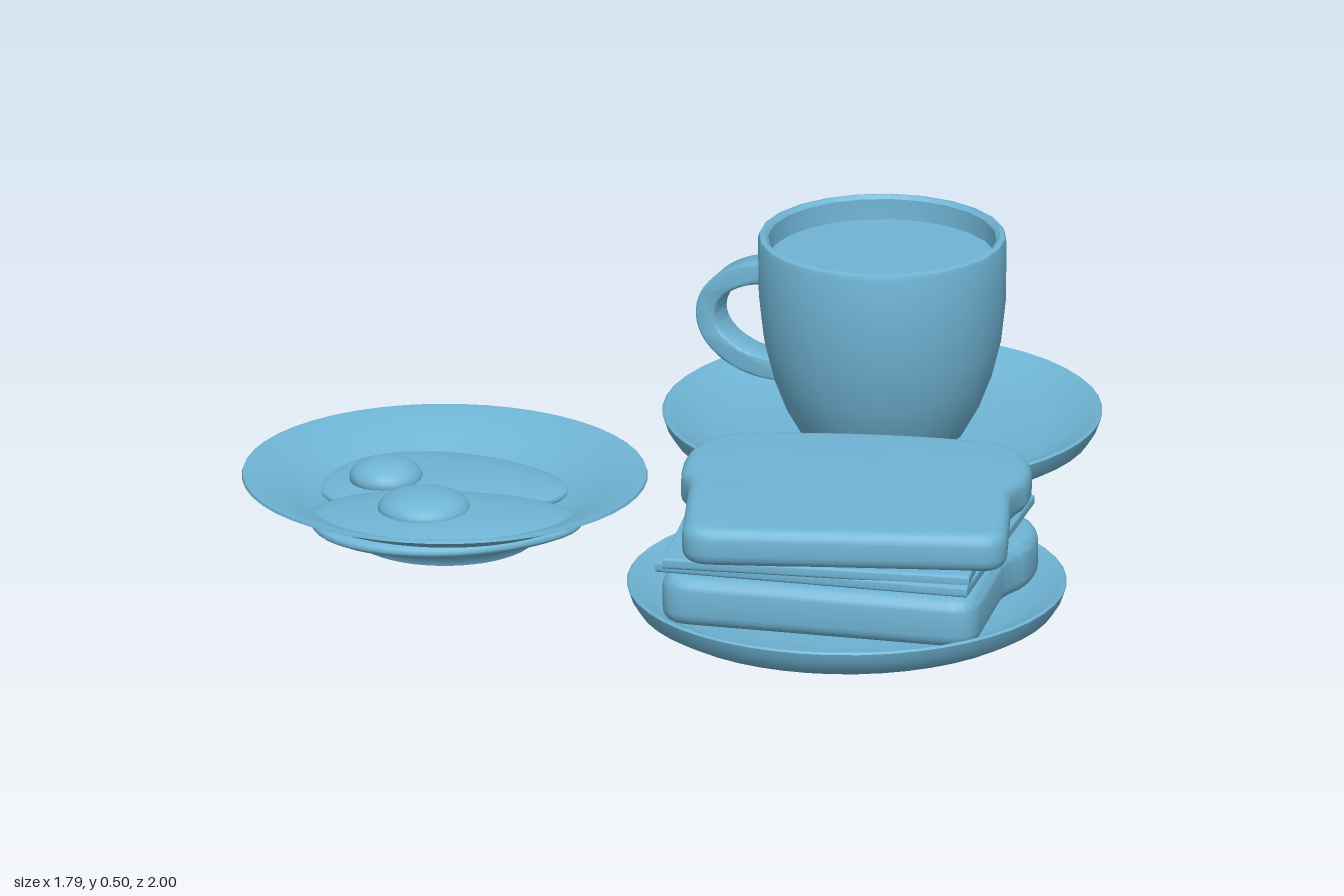
import * as THREE from 'three';
import { toCreasedNormals } from 'three/addons/utils/BufferGeometryUtils.js';

const material = new THREE.MeshStandardMaterial({ color: 0x6fb4d4 });

function add(parent, name, geometry, x = 0, y = 0, z = 0) {
  const mesh = new THREE.Mesh(geometry, material);
  mesh.name = name;
  mesh.position.set(x, y, z);
  parent.add(mesh);
  return mesh;
}

function addGroup(parent, name, x, z) {
  const group = new THREE.Group();
  group.name = name;
  group.position.set(x, 0, z);
  parent.add(group);
  return group;
}

// Turned part from [radius, height] pairs, listed bottom centre, outside, rim, inside
function turned(points, segments) {
  const profile = points.map(([r, y]) => new THREE.Vector2(r, y));
  return toCreasedNormals(new THREE.LatheGeometry(profile, segments), 0.7);
}

// Flat outline laid on the ground with rounded edges; its +y becomes -z
function slab(shape, bottom, top, bevel) {
  const geometry = new THREE.ExtrudeGeometry(shape, {
    depth: top - bottom - 2 * bevel, bevelEnabled: true, bevelThickness: bevel,
    bevelSize: bevel, bevelOffset: -bevel, bevelSegments: 4, curveSegments: 8,
  });
  geometry.rotateX(-Math.PI / 2).translate(0, bottom + bevel, 0);
  return toCreasedNormals(geometry, 0.8);
}

// Bread slice: straight lower half, side notches and a wider crown
function breadShape() {
  const s = new THREE.Shape();
  s.moveTo(-0.27, -0.32);
  s.lineTo(0.29, -0.32);
  s.quadraticCurveTo(0.35, -0.32, 0.35, -0.26);
  s.lineTo(0.34, -0.02);
  s.quadraticCurveTo(0.345, 0.02, 0.365, 0.06);
  s.quadraticCurveTo(0.4, 0.2, 0.3, 0.28);
  s.quadraticCurveTo(0.2, 0.32, 0, 0.325);
  s.quadraticCurveTo(-0.2, 0.33, -0.29, 0.3);
  s.quadraticCurveTo(-0.38, 0.25, -0.365, 0.06);
  s.quadraticCurveTo(-0.345, 0.02, -0.345, -0.02);
  s.lineTo(-0.34, -0.26);
  s.quadraticCurveTo(-0.34, -0.32, -0.27, -0.32);
  return s;
}

function rectangle(w, d) {
  const s = new THREE.Shape();
  s.moveTo(-w / 2, -d / 2);
  s.lineTo(w / 2, -d / 2);
  s.lineTo(w / 2, d / 2);
  s.lineTo(-w / 2, d / 2);
  s.closePath();
  return s;
}

// Flattened ball with a wavy outline
function eggWhite(rx, ry, rz, phase) {
  const geometry = new THREE.SphereGeometry(1, 40, 16);
  const p = geometry.attributes.position;
  for (let i = 0; i < p.count; i++) {
    const a = Math.atan2(p.getZ(i), p.getX(i));
    const k = 1 + 0.05 * Math.sin(3 * a + phase) + 0.03 * Math.sin(2 * a - phase);
    p.setXYZ(i, p.getX(i) * rx * k, p.getY(i) * ry, p.getZ(i) * rz * k);
  }
  geometry.computeVertexNormals();
  return geometry;
}

const saucerProfile = [
  [0, 0.012], [0.21, 0.012], [0.215, 0], [0.23, 0], [0.24, 0.016], [0.33, 0.027],
  [0.41, 0.045], [0.445, 0.064], [0.46, 0.088], [0.466, 0.108], [0.461, 0.112],
  [0.45, 0.108], [0.425, 0.088], [0.36, 0.066], [0.25, 0.052], [0, 0.05],
];

const plateProfile = [
  [0, 0.01], [0.175, 0.01], [0.18, 0], [0.195, 0], [0.2, 0.016], [0.26, 0.055],
  [0.34, 0.096], [0.43, 0.134], [0.428, 0.14], [0.42, 0.14], [0.33, 0.106],
  [0.26, 0.07], [0.2, 0.05], [0, 0.048],
];

const cupProfile = [
  [0, 0.048], [0.15, 0.048], [0.175, 0.068], [0.205, 0.12], [0.232, 0.19],
  [0.252, 0.27], [0.262, 0.36], [0.264, 0.49], [0.261, 0.5], [0.25, 0.503],
  [0.242, 0.495], [0.24, 0.42], [0.23, 0.3],
];

export function createModel() {
  const model = new THREE.Group();
  model.name = 'breakfast';

  // Egg plate
  const eggs = addGroup(model, 'eggPlate', -0.465, 0.01);
  add(eggs, 'plate', turned(plateProfile, 48));
  add(eggs, 'backEggWhite', eggWhite(0.275, 0.032, 0.18, 1), -0.02, 0.071, -0.11);
  add(eggs, 'frontEggWhite', eggWhite(0.295, 0.035, 0.185, 2.4), 0, 0.076, 0.14);
  for (const [name, x, y, z, r] of [
    ['frontYolk', -0.035, 0.107, 0.13, 0.098],
    ['backYolk', -0.13, 0.1, -0.08, 0.078],
  ]) add(eggs, name, new THREE.SphereGeometry(r, 32, 16), x, y, z).scale.y = 0.04 / r;

  // Cup on its saucer
  const cupSet = addGroup(model, 'cupAndSaucer', 0.425, -0.533);
  add(cupSet, 'saucer', turned(saucerProfile, 48));
  add(cupSet, 'cup', turned(cupProfile, 24));
  add(cupSet, 'drink', new THREE.CircleGeometry(0.243, 24).rotateX(-Math.PI / 2), 0, 0.45, 0);

  // Curved strap handle
  const strap = new THREE.Shape();
  strap.absellipse(-0.235, 0.285, 0.172, 0.125, 1.4, 4.9, false);
  strap.absellipse(-0.235, 0.285, 0.138, 0.088, 4.9, 1.4, true);
  strap.closePath();
  const handle = new THREE.ExtrudeGeometry(strap, {
    depth: 0.066, bevelThickness: 0.005, bevelSize: 0.005, bevelSegments: 2, curveSegments: 20,
  }).translate(0, 0, -0.033);
  add(cupSet, 'handle', toCreasedNormals(handle, 0.8)).rotation.y = -0.31;

  // Sandwich on its saucer
  const sandwich = addGroup(model, 'sandwichAndSaucer', 0.425, 0.533);
  add(sandwich, 'saucer', turned(saucerProfile, 48));
  for (const [name, shape, bottom, top, bevel, x, z, turn] of [
    ['bottomBread', breadShape(), 0.09, 0.198, 0.028, 0.005, 0, -0.17],
    ['cheeseSlice', rectangle(0.68, 0.6), 0.198, 0.222, 0.006, -0.005, -0.012, -0.17],
    ['hamSlice', rectangle(0.66, 0.61), 0.218, 0.242, 0.006, -0.015, -0.01, -0.1],
    ['topBread', breadShape(), 0.238, 0.322, 0.026, 0.008, -0.018, 0],
  ]) add(sandwich, name, slab(shape, bottom, top, bevel), x, 0, z).rotation.y = turn;

  return model;
}
